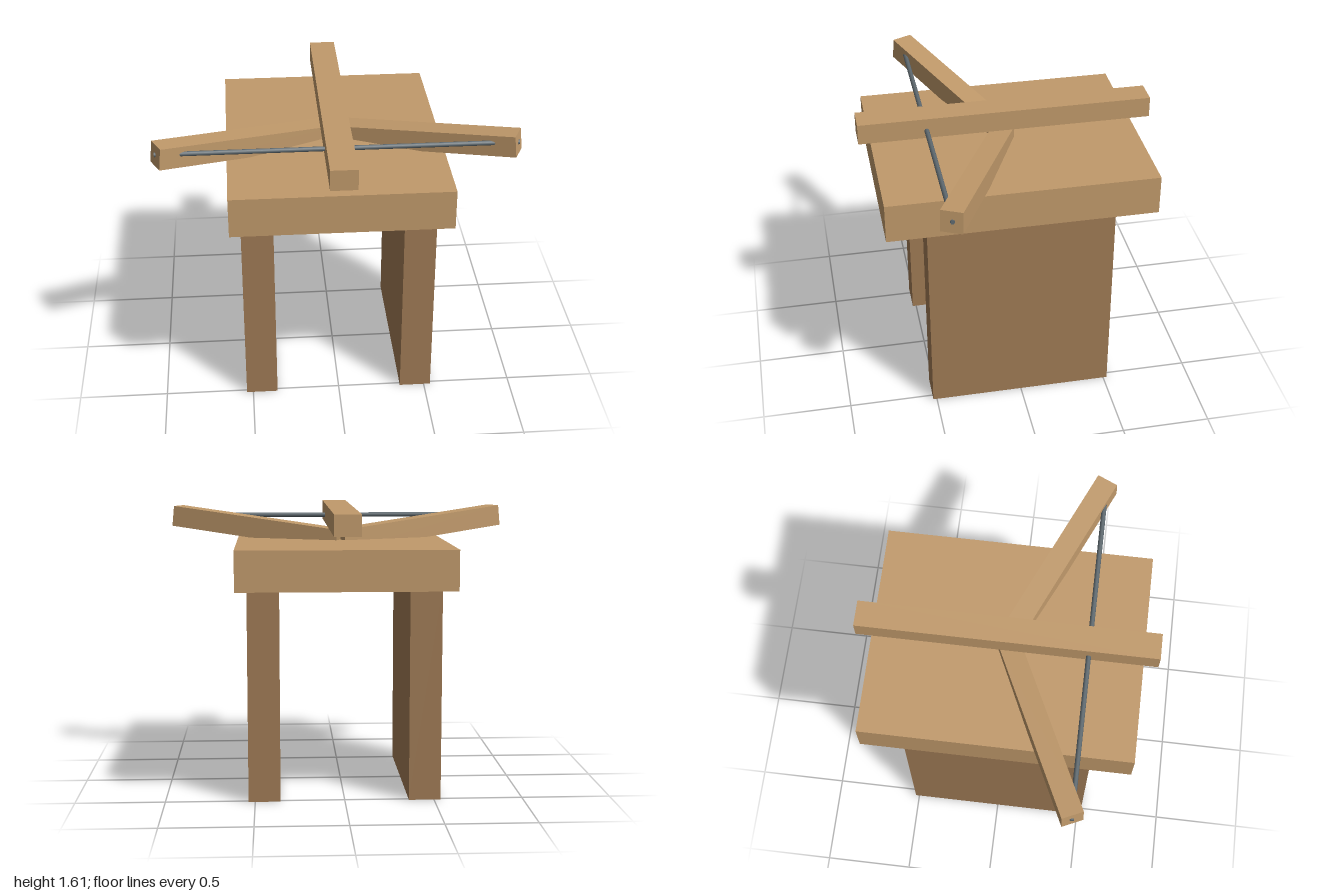
import * as THREE from 'three';

export function createModel() {
  const model = new THREE.Group();
  const lightWood = new THREE.MeshStandardMaterial({ color: 0xc19a6b });
  const darkWood = new THREE.MeshStandardMaterial({ color: 0xa07b55 });
  const steel = new THREE.MeshStandardMaterial({ color: 0x5f6a70 });

  const add = (name, geometry, material, x, y, z) => {
    const mesh = new THREE.Mesh(geometry, material);
    mesh.name = name;
    mesh.position.set(x, y, z);
    model.add(mesh);
    return mesh;
  };

  // Table slab and the long rail floating above it
  add('tableTop', new THREE.BoxGeometry(1.194, 0.222, 1.49), lightWood, 0, 1.309, 0);
  add('rail', new THREE.BoxGeometry(0.146, 0.117, 1.64), lightWood, 0, 1.553, 0);

  // Bow arms start at the middle of the slab and sweep outward, forward and up
  const armLength = 1.073, sweep = 0.433, lift = 0.11;
  for (const side of [1, -1]) {
    const label = side > 0 ? 'left' : 'right';
    add(label + 'Leg', new THREE.BoxGeometry(0.178, 1.198, 1.042), darkWood, side * 0.448, 0.599, 0);

    const armGeometry = new THREE.BoxGeometry(armLength, 0.12, 0.12);
    armGeometry.translate(side * armLength / 2, 0, 0);
    const arm = add(label + 'Arm', armGeometry, lightWood, 0, 1.42, 0);
    arm.rotation.set(0, -side * sweep, side * lift);
  }

  // Bowstring, its tips just showing through the arm ends
  const string = add('bowstring', new THREE.CylinderGeometry(0.0135, 0.0135, 1.95, 8), steel, 0, 1.54, 0.442);
  string.rotation.z = Math.PI / 2;

  return model;
}
